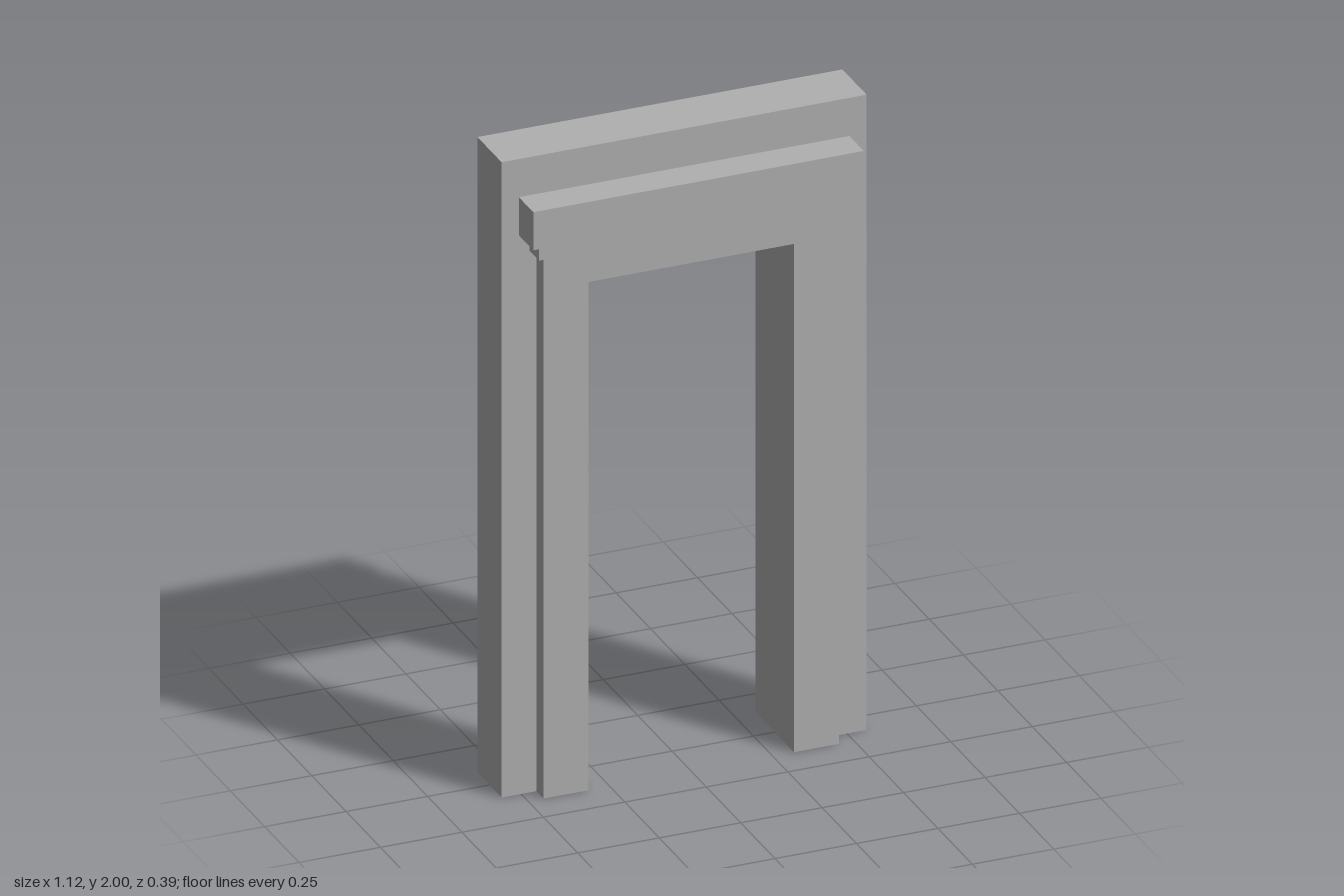
import * as THREE from 'three';

const OPENING_HALF = 0.315;
const OPENING_TOP = 1.6;
const WALL_Z = 0.088;

// Upside-down U outline extruded along z from z0 to z1
function archGeometry(halfWidth, height, z0, z1) {
  const shape = new THREE.Shape([
    [-halfWidth, 0], [-OPENING_HALF, 0], [-OPENING_HALF, OPENING_TOP],
    [OPENING_HALF, OPENING_TOP], [OPENING_HALF, 0],
    [halfWidth, 0], [halfWidth, height], [-halfWidth, height],
  ].map(([x, y]) => new THREE.Vector2(x, y)));
  const geometry = new THREE.ExtrudeGeometry(shape, { depth: z1 - z0, bevelEnabled: false });
  return geometry.translate(0, 0, z0);
}

// Straight moulding standing out from the wall face
function mouldingGeometry(halfWidth, y0, y1, z1) {
  const geometry = new THREE.BoxGeometry(halfWidth * 2, y1 - y0, z1 - WALL_Z);
  return geometry.translate(0, (y0 + y1) / 2, (WALL_Z + z1) / 2);
}

export function createModel() {
  const model = new THREE.Group();
  model.name = 'doorway';
  const stone = new THREE.MeshStandardMaterial({ color: 0xb0b0b0 });
  stone.name = 'grey stone';

  const add = (parent, name, geometry) => {
    const mesh = new THREE.Mesh(geometry, stone);
    mesh.name = name;
    parent.add(mesh);
  };

  // Wall with the door opening
  add(model, 'wall', archGeometry(0.56, 2, -WALL_Z, WALL_Z));

  // The same trim on the front and the back
  for (const side of ['front', 'back']) {
    const trim = new THREE.Group();
    trim.name = side + 'Trim';
    add(trim, 'casing', archGeometry(0.453, 1.705, WALL_Z, 0.14));
    add(trim, 'lowerMoulding', mouldingGeometry(0.474, 1.705, 1.76, 0.157));
    add(trim, 'cornice', mouldingGeometry(0.507, 1.76, 1.88, 0.193));
    if (side === 'back') trim.rotation.y = Math.PI;
    model.add(trim);
  }

  return model;
}
